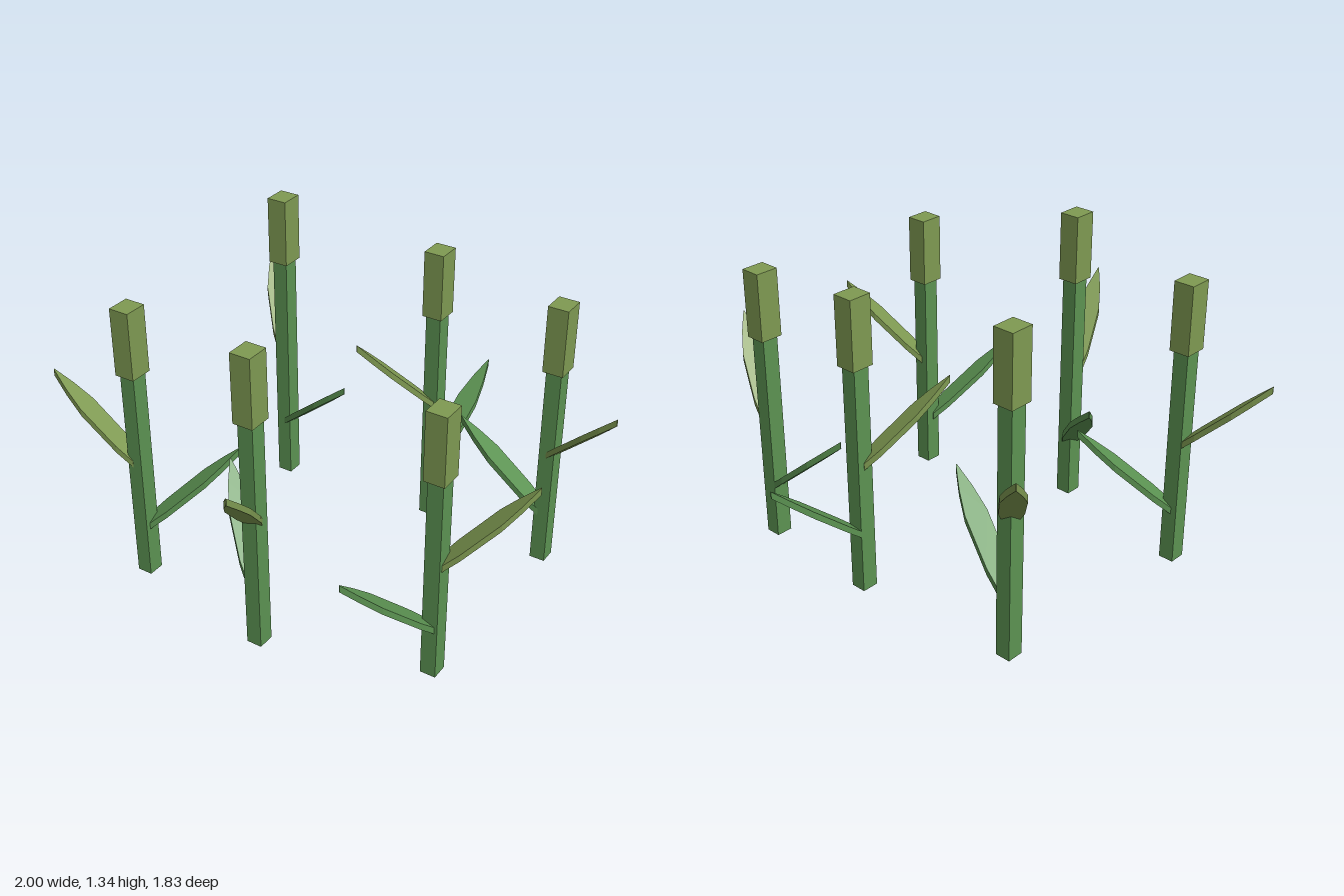
import * as THREE from 'three';

const material = (color) => new THREE.MeshStandardMaterial({ color, flatShading: true, side: THREE.DoubleSide });

// Flat pointed blade running out along +x, sheared upwards so that it rises from the stem
function leafGeometry(run, rise, thickness = 0.03) {
  const outline = [[0.04, 0.034], [0.22, 0.046], [0.62, 0.047], [0.82, 0.028], [1, 0.002]];
  const points = [
    ...outline.map(([s, w]) => new THREE.Vector2(s * run, w)),
    ...outline.map(([s, w]) => new THREE.Vector2(s * run, -w)).reverse(),
  ];
  const geometry = new THREE.ExtrudeGeometry(new THREE.Shape(points), { depth: thickness, bevelEnabled: false });
  geometry.rotateX(-Math.PI / 2);
  const p = geometry.attributes.position;
  for (let i = 0; i < p.count; i++) p.setY(i, p.getY(i) - thickness + (p.getX(i) / run) * rise);
  geometry.computeVertexNormals();
  return geometry;
}

export function createModel() {
  const group = new THREE.Group();
  const green = material(0x5c9352);
  const olive = material(0x7f9a52);
  const headHeight = 0.285;

  // Each reed: stem x, z, total height, then the tips (x, y, z) of its low and high leaf
  const reeds = [
    { x: -0.59, z: -0.465, top: 1.335, low: [-0.21, 0.605, -0.34], high: [-0.83, 0.945, -0.715] },
    { x: 0.12, z: -0.525, top: 1.255, low: [0.17, 0.585, -0.915], high: [-0.085, 0.895, -0.24] },
    { x: 0.675, z: -0.495, top: 1.185, low: [0.28, 0.565, -0.475], high: [0.995, 0.86, -0.345] },
    { x: -0.65, z: 0.465, top: 1.22, low: [-0.34, 0.57, 0.215], high: [-1, 0.875, 0.53] },
    { x: -0.005, z: 0.585, top: 1.29, low: [-0.305, 0.595, 0.33], high: [0.125, 0.915, 0.91] },
    { x: 0.645, z: 0.37, top: 1.165, low: [0.45, 0.555, 0.715], high: [0.945, 0.845, 0.185] },
  ];

  for (const { x, z, top, low, high } of reeds) {
    const reed = new THREE.Group();
    reed.name = 'reed';
    reed.position.set(x, 0, z);
    const add = (name, geometry, mat, y) => {
      const mesh = new THREE.Mesh(geometry, mat);
      mesh.name = name;
      mesh.position.y = y;
      reed.add(mesh);
      return mesh;
    };

    // Square stem and the thicker seed head on top of it
    const stemHeight = top - headHeight;
    add('stem', new THREE.BoxGeometry(0.065, stemHeight, 0.07), green, stemHeight / 2);
    add('seedHead', new THREE.BoxGeometry(0.086, headHeight, 0.097), olive, top - headHeight / 2);

    // Leaves, each turned and sloped towards its tip
    const addLeaf = (name, tip, mat, slope) => {
      const dx = tip[0] - x, dz = tip[2] - z;
      const run = Math.hypot(dx, dz);
      const rise = run * slope;
      add(name, leafGeometry(run, rise), mat, tip[1] - rise).rotation.y = Math.atan2(-dz, dx);
    };
    addLeaf('lowerLeaf', low, green, 0.84);
    addLeaf('upperLeaf', high, olive, 0.96);

    group.add(reed);
  }
  return group;
}
